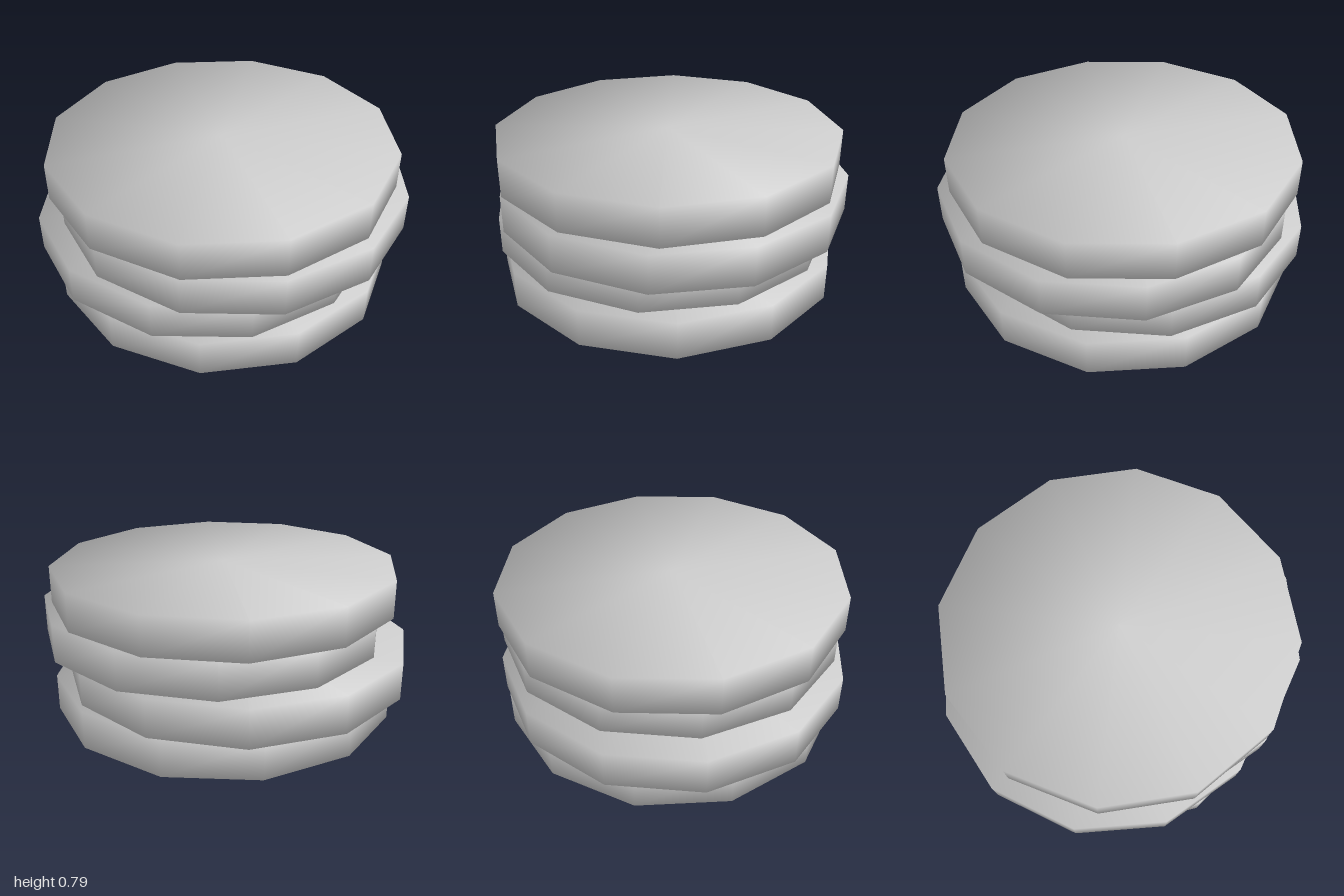
import * as THREE from 'three';
import { mergeVertices } from 'three/addons/utils/BufferGeometryUtils.js';

const SIDES = 12, RADIUS = 0.924, THICKNESS = 0.198;

// Twelve-sided disc whose rim normals blend the wall into the caps
function discGeometry() {
  const cylinder = new THREE.CylinderGeometry(RADIUS, RADIUS, THICKNESS, SIDES);
  cylinder.deleteAttribute('uv');
  cylinder.deleteAttribute('normal');
  const geometry = mergeVertices(cylinder, 1e-4);
  geometry.computeVertexNormals();
  const { position, normal } = geometry.attributes;
  const n = new THREE.Vector3();
  for (let i = 0; i < position.count; i++) {
    const x = position.getX(i), z = position.getZ(i);
    const onRim = Math.hypot(x, z) > RADIUS / 2;
    const r = onRim ? 1.16 / RADIUS : 0;
    n.set(x * r, Math.sign(position.getY(i)), z * r).normalize();
    normal.setXYZ(i, n.x, n.y, n.z);
  }
  return geometry;
}

export function createModel() {
  const group = new THREE.Group();
  group.name = 'discStack';
  const material = new THREE.MeshStandardMaterial({ color: 0xcccccc });
  const geometry = discGeometry();

  // Stack from the bottom up: sideways shift and turn in degrees
  const layers = [
    { name: 'bottomDisc', x: 0.01, turn: 11.7 },
    { name: 'lowerMiddleDisc', x: -0.077, turn: 2.4 },
    { name: 'upperMiddleDisc', x: 0.076, turn: 2.2 },
    { name: 'topDisc', x: 0.008, turn: 6.8 },
  ];
  layers.forEach(({ name, x, turn }, i) => {
    const disc = new THREE.Mesh(geometry, material);
    disc.name = name;
    disc.position.set(x, THICKNESS * (i + 0.5), 0);
    disc.rotation.y = THREE.MathUtils.degToRad(turn);
    group.add(disc);
  });
  return group;
}
